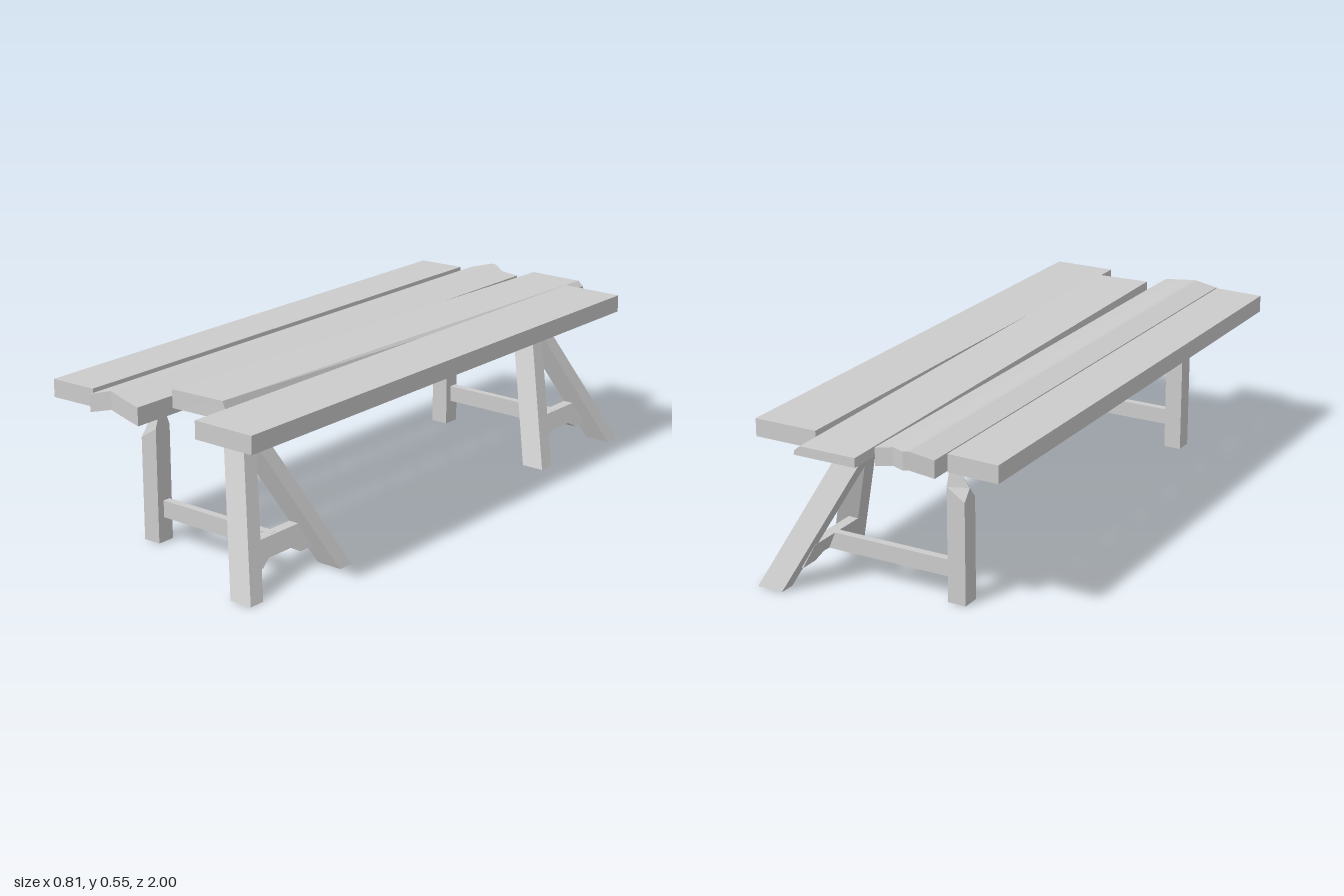
import * as THREE from 'three';

const wood = new THREE.MeshStandardMaterial({ color: 0xcccccc, flatShading: true });
wood.name = 'plain wood';

// Skin a row of equal-length cross-sections and cap both ends
function loft(name, rings) {
  const n = rings[0].length, tris = [];
  const quad = (a, b, c, d) => tris.push([a, b, c], [a, c, d]);
  for (let i = 0; i < rings.length - 1; i++)
    for (let j = 0; j < n; j++) {
      const k = (j + 1) % n;
      quad(rings[i][j], rings[i][k], rings[i + 1][k], rings[i + 1][j]);
    }
  const first = rings[0], last = rings[rings.length - 1];
  for (let j = 1; j < n - 1; j++) {
    tris.push([first[0], first[j + 1], first[j]]);
    tris.push([last[0], last[j], last[j + 1]]);
  }
  // Turn every face outward
  const v = (p) => new THREE.Vector3(...p);
  let volume = 0;
  for (const [a, b, c] of tris) volume += v(a).dot(v(b).cross(v(c)));
  if (volume < 0) tris.forEach((t) => t.reverse());
  const geo = new THREE.BufferGeometry();
  geo.setAttribute('position', new THREE.Float32BufferAttribute(tris.flat(2), 3));
  geo.computeVertexNormals();
  const mesh = new THREE.Mesh(geo, wood);
  mesh.name = name;
  return mesh;
}

// Board described by columns across x: [x, bottom, top, backZ, frontZ]
const board = (name, columns) => loft(name, columns.map(([x, y0, y1, zb, zf]) =>
  [[x, y0, zb], [x, y0, zf], [x, y1, zf], [x, y1, zb]]));

// Horizontal rectangle used for the foot and the top of a leg
const rect = (x0, x1, y, z0, z1) => [[x0, y, z0], [x1, y, z0], [x1, y, z1], [x0, y, z1]];

function trestle(name, z) {
  const g = new THREE.Group();
  g.name = name;
  // Upright post with a slanted, pointed top
  const postSection = (x, shoulder, peak) =>
    [[x, 0, -0.03], [x, 0, 0.03], [x, shoulder, 0.03], [x, peak, 0], [x, shoulder, -0.03]];
  g.add(loft('post', [postSection(-0.225, 0.333, 0.37), postSection(-0.164, 0.372, 0.455)]));

  // Two splayed legs crossing under the boards
  g.add(loft('frontLeg', [rect(0.3, 0.378, 0, 0.163, 0.217), rect(0.1, 0.178, 0.487, -0.036, 0.018)]));
  g.add(loft('backLeg', [rect(0.308, 0.396, 0, -0.217, -0.163), rect(0.08, 0.17, 0.487, -0.018, 0.036)]));

  // Arched brace between the legs, leaning with them
  const profile = [[-0.15, 0.06], [-0.085, 0.06], [-0.05, 0.08], [0.05, 0.08], [0.085, 0.06], [0.15, 0.06]];
  const lean = (y) => -0.41 * (y - 0.06);
  g.add(loft('archedBrace', profile.map(([pz, y]) => {
    const top = 0.134, w = pz * (1 - 0.0);
    const wTop = w * 0.84;
    return [[0.275 + lean(y), y, w], [0.31 + lean(y), y, w],
      [0.31 + lean(top), top, wTop], [0.275 + lean(top), top, wTop]];
  })));

  // Rail from post to brace
  const rail = new THREE.Mesh(new THREE.BoxGeometry(0.434, 0.055, 0.026), wood);
  rail.name = 'rail';
  rail.position.set(0.053, 0.107, -0.007);
  g.add(rail);
  g.position.z = z;
  return g;
}

export function createModel() {
  const model = new THREE.Group();
  model.name = 'plankTable';

  // Four uneven boards, from right to left
  model.add(board('rightBoard', [
    [-0.406, 0.47, 0.527, -0.863, 0.963], [-0.239, 0.473, 0.53, -0.863, 0.963]]));
  model.add(board('ridgedBoard', [
    [-0.225, 0.467, 0.523, -0.91, 0.99],
    [-0.152, 0.485, 0.543, -0.93, 0.974],
    [-0.135, 0.483, 0.541, -0.935, 0.978],
    [-0.08, 0.475, 0.532, -0.9, 0.987],
    [-0.024, 0.467, 0.524, -0.91, 0.995]]));
  const taperedSection = (top, zl, zr) =>
    [[-0.015, 0.49, zl], [0.196, 0.49, zr], [0.195, 0.503, zr], [0.175, top, zr], [-0.015, top, zl]];
  model.add(loft('taperedBoard', [taperedSection(0.52, -1, -1), taperedSection(0.548, 0.86, 0.85)]));
  model.add(board('leftBoard', [
    [0.192, 0.472, 0.529, -0.895, 0.985], [0.406, 0.472, 0.529, -0.895, 0.985]]));

  model.add(trestle('frontTrestle', 0.752), trestle('backTrestle', -0.718));
  return model;
}
